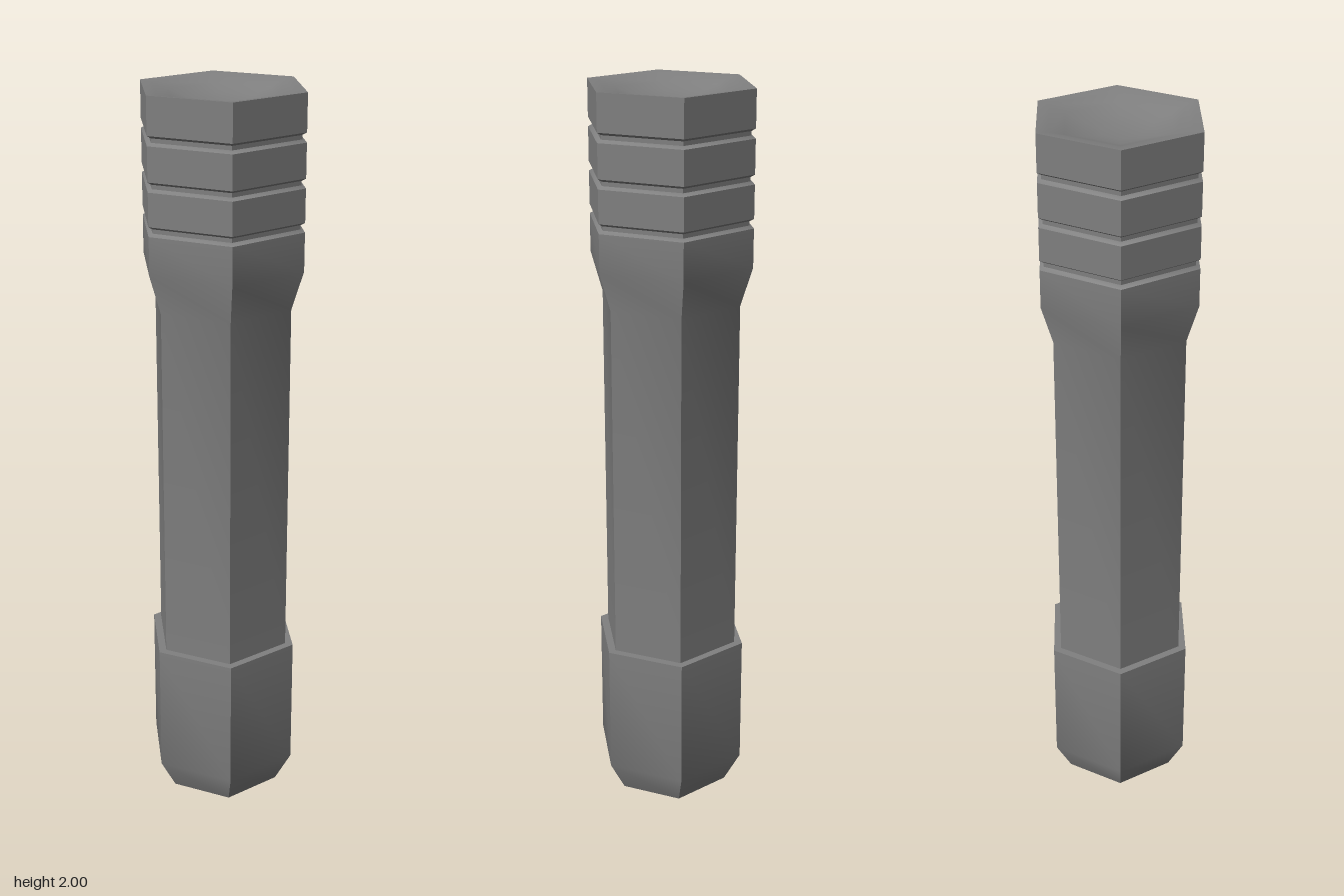
import * as THREE from 'three';
import { toCreasedNormals } from 'three/addons/utils/BufferGeometryUtils.js';

const SIDES = 6;
const CREASE = 0.7; // keeps the hexagon edges sharp, softens the gentle bevels

// Hexagonal solid from a [radius, y] profile listed bottom to top, corners on the x axis
function hexPart(name, profile) {
  const points = profile.map(([r, y]) => new THREE.Vector2(r, y));
  const lathe = new THREE.LatheGeometry(points, SIDES, Math.PI / 6);
  const geometry = toCreasedNormals(lathe, CREASE);
  const mesh = new THREE.Mesh(geometry, new THREE.MeshStandardMaterial({ color: 0x808080 }));
  mesh.name = name;
  return mesh;
}

export function createModel() {
  const model = new THREE.Group();
  model.name = 'hexHandle';

  // Foot: chamfered at the bottom, flat ledge on top
  model.add(hexPart('foot', [[0, 0], [0.17, 0], [0.217, 0.09], [0.217, 0.46], [0.185, 0.46]]));

  // Straight shaft flowing through a flared neck into the grooved head
  const R = 0.227, GROOVE = 0.215;
  const profile = [[0.194, 0.455], [0.194, 1.445], [R, 1.55]];
  for (const y of [1.664, 1.776, 1.89]) {
    profile.push([R, y - 0.012], [GROOVE, y - 0.005], [GROOVE, y + 0.006], [R, y + 0.013]);
  }
  // Shallow dished top
  profile.push([R, 2], [0.195, 1.996], [0.15, 1.982], [0.1, 1.967], [0.05, 1.961], [0, 1.96]);
  model.add(hexPart('shaftAndHead', profile));

  return model;
}
